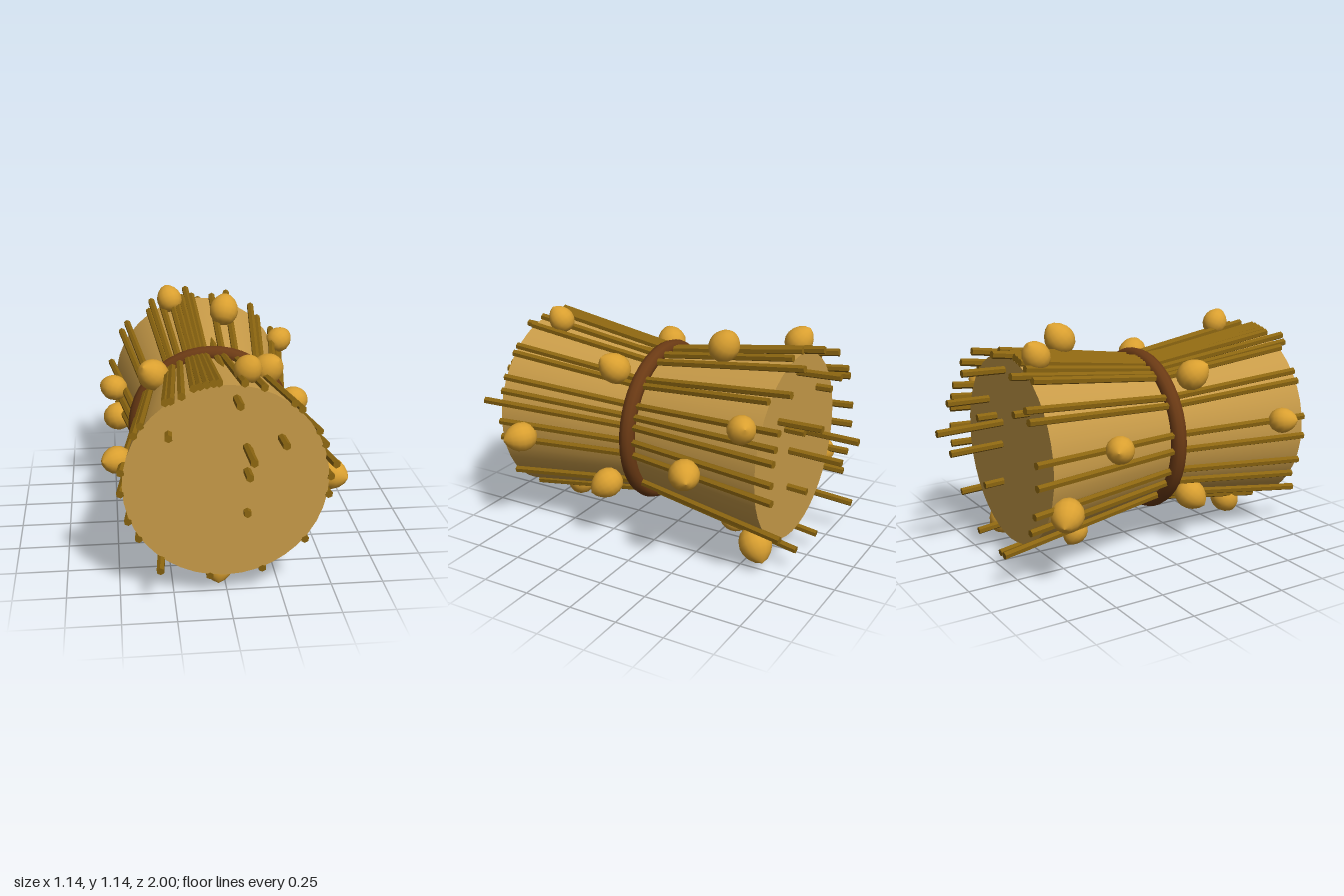
import * as THREE from 'three';

const CX = -0.01, CY = 0.57, WAIST_Z = 0.08;

export function createModel() {
  const mat = (name, color, extra = {}) => {
    const m = new THREE.MeshStandardMaterial({ color, ...extra });
    m.name = name;
    return m;
  };
  const straw = mat('straw', 0xc89b48);
  const stem = mat('stem brown', 0x8b6510, { flatShading: true });
  const cord = mat('cord brown', 0x6b3a14);
  const grain = mat('grain gold', 0xdaa030);

  const model = new THREE.Group();
  model.name = 'strawBundle';
  const bundle = new THREE.Group();
  bundle.name = 'bundle';
  bundle.position.set(CX, CY, 0);
  model.add(bundle);

  const add = (parent, geo, material, name) => {
    const mesh = new THREE.Mesh(geo, material);
    mesh.name = name;
    parent.add(mesh);
    return mesh;
  };
  const group = (name) => {
    const g = new THREE.Group();
    g.name = name;
    bundle.add(g);
    return g;
  };

  // Body: two truncated cones meeting at the tied waist
  const cone = (z0, r0, z1, r1, name) => {
    const m = add(bundle, new THREE.CylinderGeometry(r1, r0, z1 - z0, 40), straw, name);
    m.rotation.x = Math.PI / 2;
    m.position.z = (z0 + z1) / 2;
  };
  cone(WAIST_Z, 0.36, 0.79, 0.467, 'frontBody');
  cone(-0.66, 0.467, WAIST_Z, 0.36, 'backBody');

  // Cord tied round the waist
  const ring = add(bundle, new THREE.TorusGeometry(0.378, 0.04, 10, 48), cord, 'cordRing');
  ring.position.z = WAIST_Z;

  // A straight stem between two points
  const stems = group('stems');
  const up = new THREE.Vector3(0, 1, 0);
  const rod = (a, b, name) => {
    const d = b.clone().sub(a);
    const m = add(stems, new THREE.CylinderGeometry(0.019, 0.019, d.length(), 6), stem, name);
    m.position.copy(a).add(b).multiplyScalar(0.5);
    m.quaternion.setFromUnitVectors(up, d.normalize());
  };

  // Outer stems: x, y at the front end, then front and back z
  const F = 0.79, S = -0.66, L = -0.76;
  const outer = [
    [-0.29, 0.98, F, S], [-0.26, 0.99, 0.83, L], [-0.215, 1.02, 0.85, S], [-0.16, 1.04, F, S],
    [-0.13, 1.045, F, S], [-0.1, 1.05, F, S], [-0.07, 1.06, F, L], [-0.045, 1.06, F, S],
    [0.07, 1.05, F, S], [0.16, 1.03, F, L], [0.3, 0.95, F, L], [0.335, 0.92, F, S],
    [0.42, 0.81, F, L], [0.445, 0.74, F, L], [0.47, 0.68, 0.88, L], [0.485, 0.58, F, L],
    [0.47, 0.49, F, L], [0.365, 0.26, F, L], [0.165, 0.115, F, L], [-0.085, 0.09, F, L],
    [-0.315, 0.19, 0.88, -0.85], [-0.42, 0.3, F, L], [-0.46, 0.395, F, L], [-0.505, 0.535, F, L],
    [-0.49, 0.64, F, L], [-0.43, 0.82, F, L], [-0.39, 0.86, F, L],
  ];
  for (const [x, y, zf, zb] of outer) {
    const a = Math.atan2(y - CY, x - CX);
    const at = (z) => {
      const r = 0.372 + Math.abs(z - WAIST_Z) * 0.148;
      return new THREE.Vector3(Math.cos(a) * r, Math.sin(a) * r, z);
    };
    rod(at(WAIST_Z), at(zf), 'frontStem');
    rod(at(WAIST_Z), at(zb), 'backStem');
  }

  // Inner stems poking out of both ends: front x, y, z and back x, y, z
  const inner = [
    [0.085, 0.755, 1.0, 0.055, 0.685, -1.0], [0.035, 0.98, 0.91, 0.01, 0.97, -0.88],
    [-0.27, 0.82, 0.85, -0.24, 0.81, -0.74], [0.24, 0.785, 0.9, 0.21, 0.78, -0.88],
    [0.09, 0.73, 0.86, 0.13, 0.71, -0.76], [0.085, 0.63, 0.88, 0.07, 0.57, -0.93],
    [0.085, 0.425, 0.82, 0.07, 0.38, -0.76],
  ];
  for (const [xf, yf, zf, xb, yb, zb] of inner) {
    const f = new THREE.Vector3(xf - CX, yf - CY, zf);
    const b = new THREE.Vector3(xb - CX, yb - CY, zb);
    const mid = f.clone().add(b).multiplyScalar(0.45).setZ(WAIST_Z);
    rod(mid, f, 'frontInnerStem');
    rod(mid, b, 'backInnerStem');
  }

  // Grains: rounded drops with a blunt tip, leaning out and away from the waist
  const profile = [[0, -0.075], [0.03, -0.07], [0.055, -0.053], [0.071, -0.025], [0.076, 0.005],
    [0.07, 0.035], [0.054, 0.063], [0.03, 0.086], [0, 0.1]].map(([x, y]) => new THREE.Vector2(x, y));
  const grainGeo = new THREE.LatheGeometry(profile, 16);
  const grains = group('grains');
  // x, y, z and size
  const spots = [
    [0.1, 1.05, 0.64, 0.85], [0.485, 0.53, 0.64, 1], [-0.03, 0.085, 0.64, 1], [-0.49, 0.64, 0.64, 0.85],
    [0.1, 1.055, -0.31, 1], [0.485, 0.535, -0.31, 1], [-0.03, 0.085, -0.31, 0.85], [-0.49, 0.64, -0.32, 0.9],
    [0.255, 0.9, 0.21, 1], [0.35, 0.32, 0.21, 1], [-0.3, 0.89, 0.21, 1], [-0.3, 0.27, 0.21, 1],
    [-0.17, 1.05, -0.58, 0.9], [0.44, 0.8, -0.58, 0.9], [0.235, 0.13, -0.57, 1.1], [-0.47, 0.37, -0.59, 1.05],
  ];
  for (const [x, y, z, s] of spots) {
    const m = add(grains, grainGeo, grain, 'grain');
    m.position.set(x - CX, y - CY, z);
    m.scale.setScalar(s);
    const dir = new THREE.Vector3(x - CX, y - CY, 0).normalize();
    dir.z = z > WAIST_Z ? 0.7 : -0.7;
    m.quaternion.setFromUnitVectors(up, dir.normalize());
  }

  return model;
}
